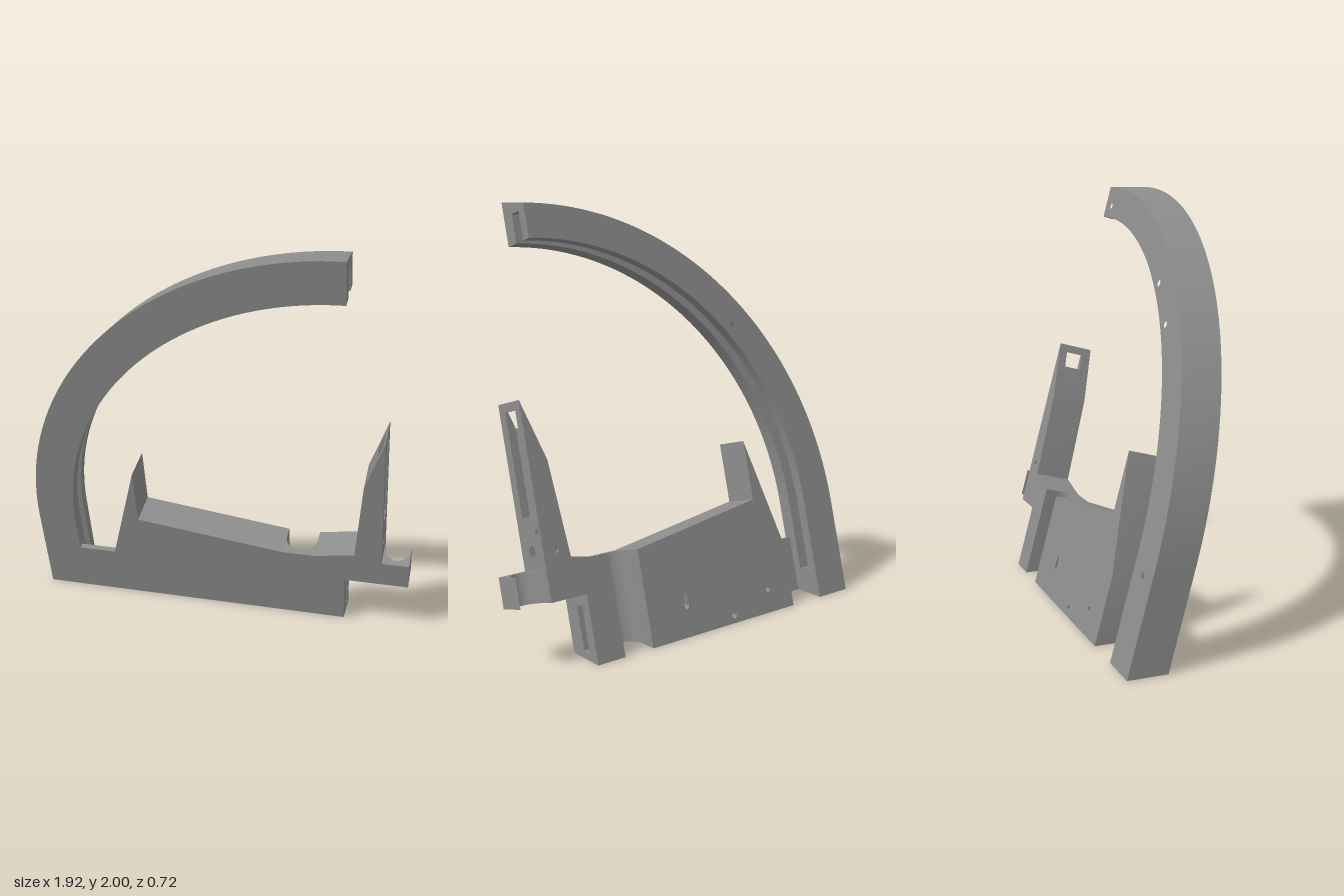
import * as THREE from 'three';
import { mergeGeometries, toCreasedNormals } from 'three/addons/utils/BufferGeometryUtils.js';

const TILT = Math.PI / 12, S = Math.sin(TILT), C = Math.cos(TILT), T = Math.tan(TILT);
const DEPTH = 0.179; // slab thickness, measured square to its leaning front face
const grey = new THREE.MeshStandardMaterial({ color: 0x8c8c8c });
grey.name = 'grey';

// Lean a flat part forward: x and y lie on the front face, z runs from 0 back to -DEPTH.
// square(x, y) is 1 where an edge runs square to the slab, 0 where it runs level.
function lean(geo, square) {
  const p = geo.attributes.position;
  for (let i = 0; i < p.count; i++) {
    const d = -p.getZ(i);
    const y = p.getY(i) + square(p.getX(i), p.getY(i)) * S * d;
    p.setXYZ(i, p.getX(i), y, -0.174 + T * y - d / C);
  }
  return geo;
}

// One layer of the slab between depths d0 and d1, with optional round holes [x, y]
function layer(points, d0, d1, square, holes = []) {
  const shape = new THREE.Shape(points.map(([x, y]) => new THREE.Vector2(x, y)));
  for (const [x, y] of holes) {
    shape.holes.push(new THREE.Path().absarc(x, y, 0.014, 0, Math.PI * 2, true));
  }
  const geo = new THREE.ExtrudeGeometry(shape, { depth: d1 - d0, bevelEnabled: false, curveSegments: 6 });
  return lean(geo.translate(0, 0, -d1), square);
}

function arc(cx, cy, rx, ry, a0, a1, n) {
  return Array.from({ length: n + 1 }, (_, i) => {
    const a = a0 + (a1 - a0) * i / n;
    return [cx + rx * Math.cos(a), cy + ry * Math.sin(a)];
  });
}

// Material left in the corners of a round-bottomed vertical groove
function grooveFill(x0, x1, y0, y1, ry, square) {
  const r = (x1 - x0) / 2;
  const pts = [[x0, -0.03], ...arc((x0 + x1) / 2, -0.034 - ry, r, ry, Math.PI, 0, 20), [x1, -0.03]];
  const shape = new THREE.Shape(pts.map(([x, y]) => new THREE.Vector2(x, y)));
  const geo = new THREE.ExtrudeGeometry(shape, { depth: y1 - y0, bevelEnabled: false });
  return lean(geo.rotateX(Math.PI / 2).translate(0, y1, 0), square);
}

function part(name, geos) {
  const mesh = new THREE.Mesh(toCreasedNormals(mergeGeometries(geos), 0.4), grey);
  mesh.name = name;
  return mesh;
}

function makeArch() {
  const H = Math.PI / 2, N = 48;
  const square = (x, y) => {
    const e = ((x - 0.64) / 1.605) ** 2 + ((y - 0.45) / 1.55) ** 2;
    return y < 0.001 || x < -0.96 || (y > 0.44 && e > 0.97) ? 0 : 1;
  };
  const outer = [[-0.965, 0], ...arc(0.64, 0.45, 1.605, 1.55, Math.PI, H, N)];
  const inner = arc(0.64, 0.44, 1.408, 1.36, H, Math.PI, N);
  const roof = arc(0.64, 0.44, 1.538, 1.49, H, Math.PI, N);
  const full = [...outer, ...inner, [-0.768, 0]];
  const grooved = [...outer, ...roof, [-0.898, 0.1], [-0.768, 0.1], [-0.768, 0]];
  return part('arch', [
    layer(full, 0, 0.07, square),
    layer(grooved, 0.07, 0.13, square),
    layer(full, 0.13, DEPTH, square, [[-0.87, 0.36], [-0.47, 1.35], [-0.29, 1.517], [0.56, 1.855]]),
  ]);
}

// Cuts into the right-hand faces, each [d0, d1, y0, y1, floor x, face x]
function sideCuts() {
  const cuts = [[0.085, 0.126, 0.035, 0.21, 0.58, 0.64]];
  const roundHole = (d, y, r, n) => {
    for (let i = 0; i < n; i++) {
      const a = -r + 2 * r * i / n, b = a + 2 * r / n;
      const h = Math.sqrt(r * r - ((a + b) / 2) ** 2);
      cuts.push([d + a, d + b, y - h, y + h, 0.785, 0.825]);
    }
  };
  roundHole(0.087, 0.478, 0.025, 8);
  roundHole(0.152, 0.56, 0.014, 6);
  return cuts;
}

function makeEndBlock(square) {
  const cuts = sideCuts(), slot = [0.05, 0.136];
  const stops = [...new Set([0.03, DEPTH, ...slot, ...cuts.flatMap(c => [c[0], c[1]])])].sort((a, b) => a - b);
  const geos = [];
  for (let i = 0; i + 1 < stops.length; i++) {
    const d0 = stops[i], d1 = stops[i + 1], m = (d0 + d1) / 2;
    if (d1 - d0 < 1e-6) continue;
    const notches = face => cuts.filter(c => c[5] === face && m > c[0] && m < c[1])
      .sort((a, b) => a[2] - b[2])
      .flatMap(([, , y0, y1, x]) => [[face, y0], [x, y0], [x, y1], [face, y1]]);
    const slotted = m > slot[0] && m < slot[1];
    // the post slot breaks out through the sloping edge near the tip
    const top = slotted ? [[0.825, 0.622], [0.785, 0.622], [0.785, 1.003]] : [[0.825, 1.115]];
    geos.push(layer([[0.49, 0], [0.64, 0], ...notches(0.64), [0.64, 0.26], [0.825, 0.26],
      ...notches(0.825), ...top, [0.73, 0.85], [0.69, 0.43], [0.49, 0.395]], d0, d1, square,
    d0 > 0.165 ? [[0.76, 0.473]] : []));
    if (slotted) geos.push(layer([[0.811, 1.077], [0.825, 1.077], [0.825, 1.115]], d0, d1, square));
  }
  return part('endBlockAndPost', geos);
}

export function createModel() {
  const group = new THREE.Group();
  const square = (x, y) => (y < 0.15 ? 0 : 1);

  group.add(makeArch());

  // Thin front plate that joins the arch, the blocks and the hook
  group.add(part('frontPlate', [layer([[-0.768, 0], [0.64, 0], [0.64, 0.26], [0.96, 0.26], [0.96, 0.395],
    [0.825, 0.395], [0.825, 1.115], [0.73, 0.85], [0.69, 0.43], [0.49, 0.395], [0.33, 0.395],
    [-0.42, 0.5], [-0.42, 0.785], [-0.575, 0.26], [-0.768, 0.26]], 0, 0.03, square)]));

  // Main block with its pointed horn
  const block = [[-0.575, 0], [0.33, 0], [0.33, 0.395], [-0.42, 0.5], [-0.42, 0.785], [-0.575, 0.26]];
  group.add(part('mainBlock', [
    layer(block, 0.03, 0.12, square),
    layer(block, 0.12, DEPTH, square, [[-0.42, 0.11], [-0.18, 0.035], [0.1, 0.14]]),
  ]));

  group.add(makeEndBlock(square));

  // Round-bottomed grooves in the back
  group.add(part('backGroove', [grooveFill(0.33, 0.49, 0, 0.395, 0.08, square)]));
  group.add(part('hook', [grooveFill(0.825, 0.96, 0.26, 0.395, 0.11, square)]));
  return group;
}
